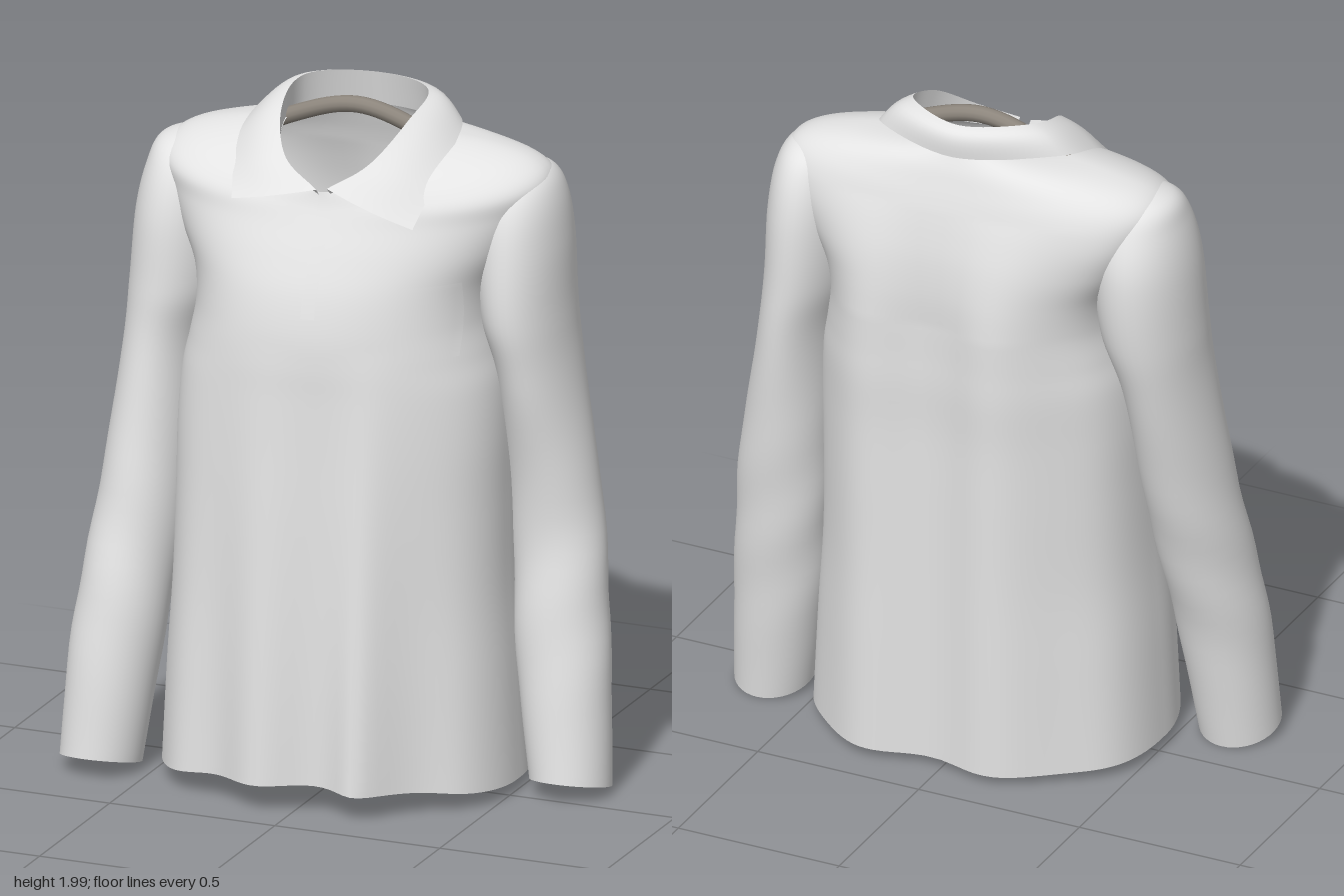
import * as THREE from 'three';

const V = (x, y, z) => new THREE.Vector3(x, y, z);

// smooth interpolation through the rows of a small table
function sampleRows(rows, t) {
  const n = rows.length - 1;
  const i = Math.min(Math.floor(t), n - 1), f = t - i;
  const [a, b, c, d] = [i - 1, i, i + 1, i + 2].map(k => rows[Math.max(0, Math.min(n, k))]);
  return b.map((_, k) => 0.5 * (2 * b[k] + (c[k] - a[k]) * f
    + (2 * a[k] - 5 * b[k] + 4 * c[k] - d[k]) * f * f
    + (3 * b[k] - a[k] - 3 * c[k] + d[k]) * f * f * f));
}

// surface from a function of (u, v), optionally closed around u
function surface(fn, nu, nv, closed) {
  const cols = closed ? nu : nu + 1, pos = [], index = [];
  for (let j = 0; j <= nv; j++)
    for (let i = 0; i < cols; i++) pos.push(...fn(i / nu, j / nv).toArray());
  for (let j = 0; j < nv; j++)
    for (let i = 0; i < nu; i++) {
      const a = j * cols + i, b = j * cols + (i + 1) % cols;
      index.push(a, a + cols, b, b, a + cols, b + cols);
    }
  const g = new THREE.BufferGeometry();
  g.setAttribute('position', new THREE.Float32BufferAttribute(pos, 3));
  g.setIndex(index);
  g.computeVertexNormals();
  return g;
}

const spow = (c, e) => Math.sign(c) * Math.abs(c) ** e;

// torso sections: front y, side y, back y, half width, front z, back z, side z, front and back roundness
const TORSO = [
  [0.085, 0.04, 0.03, 0.505, 0.39, -0.38, 0.0, 2.15, 2.6],
  [0.35, 0.34, 0.34, 0.49, 0.381, -0.38, 0.0, 2.15, 2.6],
  [0.6, 0.6, 0.6, 0.473, 0.37, -0.38, 0.0, 2.15, 2.6],
  [0.85, 0.85, 0.85, 0.467, 0.357, -0.38, -0.005, 2.15, 2.7],
  [1.05, 1.05, 1.05, 0.465, 0.345, -0.38, -0.01, 2.15, 2.8],
  [1.2, 1.2, 1.2, 0.455, 0.337, -0.385, -0.02, 2.15, 2.9],
  [1.3, 1.3, 1.3, 0.435, 0.333, -0.385, -0.03, 2.15, 3],
  [1.4, 1.4, 1.4, 0.42, 0.322, -0.385, -0.04, 2.15, 3.1],
  [1.5, 1.5, 1.5, 0.435, 0.297, -0.382, -0.06, 2.15, 3.1],
  [1.595, 1.6, 1.6, 0.49, 0.257, -0.37, -0.08, 2.1, 3.1],
  [1.675, 1.7, 1.69, 0.54, 0.217, -0.35, -0.10, 2.05, 3],
  [1.715, 1.78, 1.77, 0.56, 0.197, -0.327, -0.11, 2.05, 2.7],
  [1.735, 1.835, 1.82, 0.505, 0.188, -0.31, -0.12, 2, 2.4],
  [1.755, 1.87, 1.865, 0.375, 0.181, -0.293, -0.12, 2, 2.2],
  [1.77, 1.89, 1.905, 0.205, 0.177, -0.272, -0.11, 2, 2],
];
const LAST = TORSO.length - 1;

function torsoPoint(angle, t) {
  const [yf, ys, yb, w, zf, zb, zc, pf, pb] = sampleRows(TORSO, t);
  const c = Math.cos(angle), s = Math.sin(angle), e = 2 / (s > 0 ? pf : pb);
  const x = w * spow(c, e);
  const y = ys + ((s > 0 ? yf : yb) - ys) * Math.abs(s) ** 1.6;
  // the body is turned a little, less so across the back
  let z = zc + (s > 0 ? zf - zc : zc - zb) * spow(s, e) - (0.07 + 0.03 * s) * x;
  // hanging folds: front ones deepest at the hem, back ones up to the shoulder blades
  if (s > 0) z += Math.max(0, 1 - y / 1.35) * s
    * (0.027 * Math.cos(2 * Math.PI * (x + 0.1) / 0.3) + 0.035 * Math.exp(-(((x - 0.2) / 0.06) ** 2)));
  else z += 0.025 * Math.min(1, Math.max(0, (1.75 - y) / 0.35)) * s * Math.cos(2 * Math.PI * (x + 0.17) / 0.42);
  return V(x, y, z);
}

// thin panel lying on the chest between x0..x1 and section t0..t1
function chestPanel(x0, x1, t0, t1) {
  return surface((u, v) => {
    const t = t0 + (t1 - t0) * v, x = x0 + (x1 - x0) * (1 - u);
    const row = sampleRows(TORSO, t);
    const angle = Math.acos(spow(Math.min(1, x / row[3]), row[7] / 2));
    return torsoPoint(angle, t).add(V(x * 0.01, 0, 0.006));
  }, 10, 14, false);
}

// sleeve sections: y, inner x, outer x, back z, front z
const SLEEVES = {
  leftSleeve: [
    [1.83, 0.48, 0.48, -0.17, -0.17], [1.8, 0.40, 0.55, -0.27, -0.07], [1.73, 0.37, 0.587, -0.325, 0.0],
    [1.6, 0.36, 0.606, -0.355, 0.04], [1.4, 0.375, 0.615, -0.36, 0.055], [1.2, 0.42, 0.635, -0.35, 0.02],
    [0.8, 0.44, 0.70, -0.31, -0.05], [0.4, 0.47, 0.74, -0.26, -0.01], [0.035, 0.53, 0.76, -0.215, 0.03],
  ],
  rightSleeve: [
    [1.83, -0.49, -0.49, -0.07, -0.07], [1.8, -0.40, -0.577, -0.17, 0.03], [1.73, -0.37, -0.61, -0.225, 0.095],
    [1.6, -0.36, -0.637, -0.26, 0.135], [1.4, -0.375, -0.65, -0.25, 0.15], [1.2, -0.43, -0.66, -0.2, 0.16],
    [0.8, -0.45, -0.70, -0.09, 0.22], [0.4, -0.485, -0.745, 0.03, 0.30], [0.035, -0.53, -0.76, 0.1, 0.34],
  ],
};

function sleeveGeometry(rows, side) {
  const n = rows.length - 1;
  return surface((u, v) => {
    const [y, xi, xo, zb, zf] = sampleRows(rows, v * n);
    const a = -side * u * 2 * Math.PI, c = Math.cos(a), s = Math.sin(a);
    // soft elbow creases and a cuff that tips forward
    const crease = 1 + 0.02 * Math.sin(y * 20 + 2 * a) * Math.exp(-(((y - 0.6) / 0.3) ** 2));
    return V((xi + xo) / 2 + (xo - xi) / 2 * c * crease,
      y + 0.03 * s * Math.max(0, v * 2 - 1),
      (zb + zf) / 2 + (zf - zb) / 2 * s * crease);
  }, 40, 64, true);
}

// collar: fold line and outer edge, from right front round the back to left front
const curve = pts => new THREE.CatmullRomCurve3(pts.map(p => V(...p)));
const FOLD = curve([
  [0, 1.785, 0.205], [-0.12, 1.845, 0.14], [-0.19, 1.945, 0], [-0.185, 1.99, -0.15], [0, 1.99, -0.25],
  [0.185, 1.99, -0.16], [0.185, 1.945, -0.02], [0.12, 1.845, 0.125], [0.03, 1.79, 0.2],
]);
const EDGE = curve([
  [-0.252, 1.73, 0.215], [-0.287, 1.8, 0.115], [-0.31, 1.875, -0.01], [-0.275, 1.915, -0.16], [0, 1.905, -0.285],
  [0.265, 1.912, -0.2], [0.3, 1.87, -0.08], [0.295, 1.785, 0.07], [0.28, 1.695, 0.178],
]);

function collarLeaf(u, v) {
  const p = FOLD.getPoint(u).lerp(EDGE.getPoint(u), v);
  const lift = Math.sin(Math.PI * v);
  p.y += 0.018 * lift * Math.sin(Math.PI * u);
  p.z += 0.015 * lift * Math.cos(2 * Math.PI * u);
  return p;
}

function collarStand(u, v) {
  const p = FOLD.getPoint(u);
  return V(p.x * (1 + 0.05 * v), p.y - (0.02 + 0.08 * Math.sin(Math.PI * u)) * v, p.z - 0.02 * v);
}

export function createModel() {
  const cloth = new THREE.MeshStandardMaterial({ color: 0xe4e4e4, side: THREE.DoubleSide });
  cloth.name = 'light grey cloth';
  const wood = new THREE.MeshStandardMaterial({ color: 0x8c857c });
  wood.name = 'grey brown hanger';

  const group = new THREE.Group();
  group.name = 'longSleeveShirt';
  const add = (name, geometry, material = cloth) => {
    const mesh = new THREE.Mesh(geometry, material);
    mesh.name = name;
    group.add(mesh);
  };

  add('torso', surface((u, v) => torsoPoint(u * 2 * Math.PI, v * LAST), 128, 98, true));
  add('leftSleeve', sleeveGeometry(SLEEVES.leftSleeve, 1));
  add('rightSleeve', sleeveGeometry(SLEEVES.rightSleeve, -1));

  add('collarLeaf', surface(collarLeaf, 72, 8, false));
  add('collarStand', surface(collarStand, 72, 4, false));
  add('placket', chestPanel(0, 0.04, 7.4, LAST));
  add('chestPocket', chestPanel(0.25, 0.39, 6.2, 8.3));

  // hanger bar drooping into both shoulders
  const bar = curve([[-0.42, 1.77, -0.09], [-0.2, 1.89, -0.09], [0, 1.945, -0.09], [0.2, 1.89, -0.09], [0.42, 1.77, -0.09]]);
  add('hangerBar', new THREE.TubeGeometry(bar, 40, 0.024, 12, false), wood);

  return group;
}
